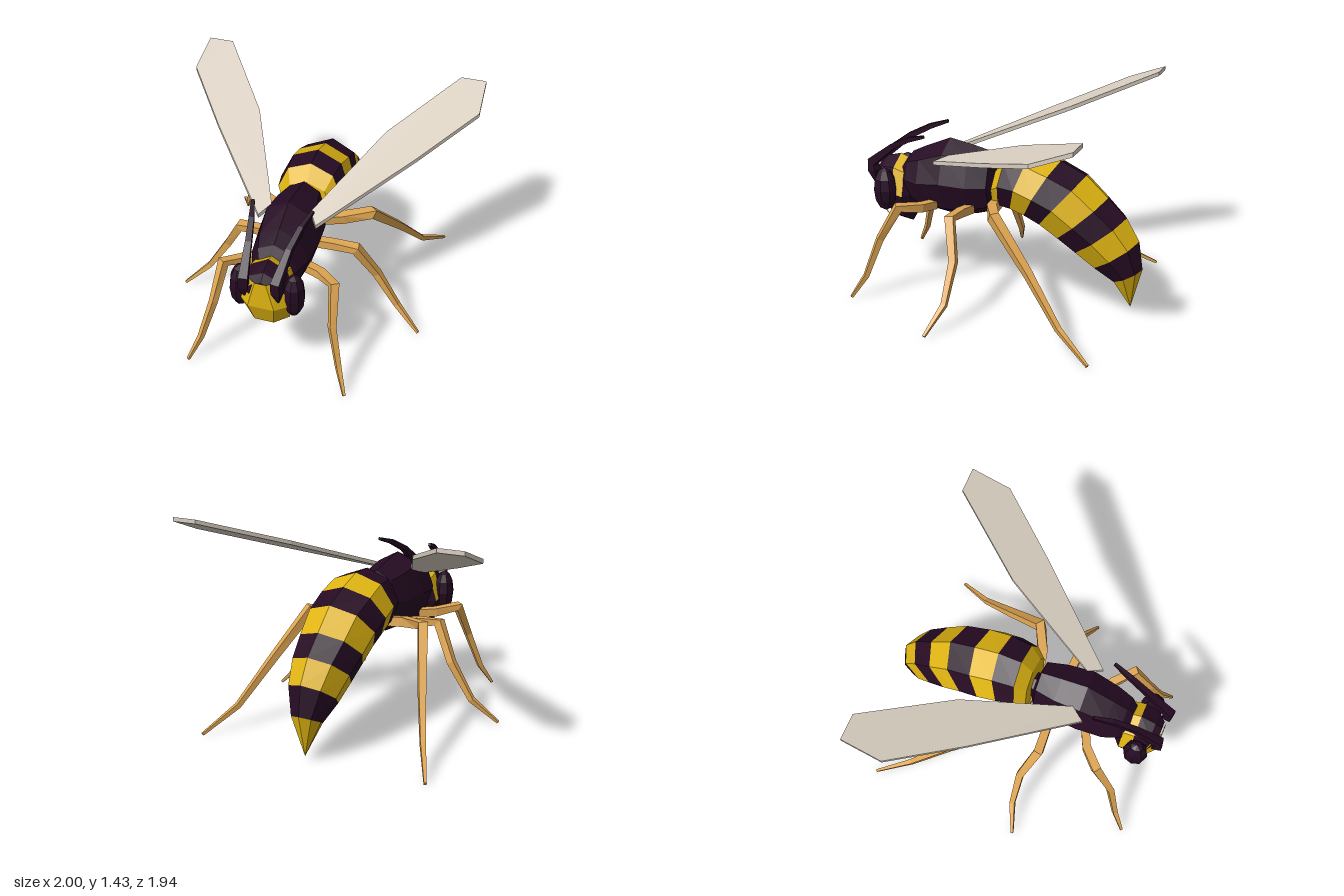
import * as THREE from 'three';

const material = (name, color) => {
  const m = new THREE.MeshStandardMaterial({ color });
  m.name = name;
  return m;
};
const V = (x, y, z) => new THREE.Vector3(x, y, z);

// Flat-faced skin over rows of points; colourAt(i, j) picks the material of each panel.
function skin(name, rows, colourAt, closed = true) {
  const buckets = new Map();
  const tri = (mat, a, b, c) => {
    const area = b.clone().sub(a).cross(c.clone().sub(a)).length();
    if (area < 1e-7) return;
    if (!buckets.has(mat)) buckets.set(mat, []);
    buckets.get(mat).push(a, b, c);
  };
  const n = rows[0].length;
  const last = rows.length - 1;
  for (let i = 0; i < last; i++) {
    for (let j = 0; j < (closed ? n : n - 1); j++) {
      const k = (j + 1) % n;
      const mat = colourAt(i, j);
      tri(mat, rows[i][j], rows[i][k], rows[i + 1][k]);
      tri(mat, rows[i][j], rows[i + 1][k], rows[i + 1][j]);
    }
  }
  if (closed) {
    const centre = r => r.reduce((s, p) => s.add(p), V(0, 0, 0)).divideScalar(n);
    const a = centre(rows[0]), b = centre(rows[last]);
    for (let j = 0; j < n; j++) {
      const k = (j + 1) % n;
      tri(colourAt(0, j), a, rows[0][k], rows[0][j]);
      tri(colourAt(last - 1, j), b, rows[last][j], rows[last][k]);
    }
  }
  const group = new THREE.Group();
  group.name = name;
  for (const [mat, points] of buckets) {
    const g = new THREE.BufferGeometry().setFromPoints(points);
    g.computeVertexNormals();
    const mesh = new THREE.Mesh(g, mat);
    mesh.name = name + 'Panels';
    group.add(mesh);
  }
  return group;
}

// Eight-sided ring spanning a top and a bottom point, with a half width.
function ring([zTop, yTop, zBot, yBot, w]) {
  return Array.from({ length: 8 }, (_, j) => {
    const a = j * Math.PI / 4, t = (1 + Math.cos(a)) / 2;
    return V(w * Math.sin(a), yBot + (yTop - yBot) * t, zBot + (zTop - zBot) * t);
  });
}
const upright = ([z, top, bot, w]) => ring([z, top, z, bot, w]);

// Tapered four-sided limb through [x, y, z, radius] stations.
function limb(name, stations, side, mat) {
  const pts = stations.map(([x, y, z]) => V(x * side, y, z));
  const end = pts[pts.length - 1];
  const ref = end.clone().sub(pts[0]).setY(0).cross(V(0, 1, 0)).normalize();
  const rows = pts.map((p, i) => {
    const t = pts[Math.min(i + 1, pts.length - 1)].clone().sub(pts[Math.max(i - 1, 0)]).normalize();
    const u = ref.clone().addScaledVector(t, -ref.dot(t)).normalize();
    const v = t.clone().cross(u);
    return [0, 1, 2, 3].map(j => {
      const a = (j + 0.5) * Math.PI / 2, r = stations[i][3];
      return p.clone().addScaledVector(u, r * Math.cos(a)).addScaledVector(v, r * Math.sin(a));
    });
  });
  return skin(name, rows, () => mat);
}

export function createModel() {
  const dark = material('darkPlum', 0x260b23);
  const yellow = material('yellow', 0xdfb411);
  const amber = material('amberLegs', 0xdea552);
  const pale = material('paleWing', 0xd9cfc1);
  const model = new THREE.Group();
  model.name = 'wasp';

  // Curved, banded abdomen: top z, top y, bottom z, bottom y, half width
  const abdomen = [
    [0.02, 0.95, 0.05, 0.64, 0.17],
    [-0.06, 1.05, 0, 0.63, 0.22],
    [-0.22, 1.055, -0.08, 0.62, 0.24],
    [-0.39, 1.0, -0.17, 0.595, 0.248],
    [-0.57, 0.925, -0.26, 0.55, 0.238],
    [-0.72, 0.79, -0.38, 0.475, 0.22],
    [-0.85, 0.67, -0.50, 0.39, 0.195],
    [-0.94, 0.52, -0.63, 0.30, 0.16],
    [-0.97, 0.325, -0.77, 0.22, 0.10],
    [-0.90, 0.04, -0.90, 0.04, 0],
  ].map(ring);
  model.add(skin('abdomen', abdomen, i => (i % 2 ? dark : yellow)));

  // Thorax with its narrow waist
  const thorax = [
    [0.74, 0.86, 0.60, 0.11],
    [0.68, 0.93, 0.59, 0.15],
    [0.58, 0.98, 0.54, 0.185],
    [0.40, 1.06, 0.515, 0.205],
    [0.22, 1.03, 0.535, 0.19],
    [0.08, 1.0, 0.58, 0.15],
    [0.05, 0.84, 0.64, 0.09],
    [-0.02, 0.84, 0.68, 0.07],
  ].map(upright);
  model.add(skin('thorax', thorax, () => dark));

  // Head with a yellow collar over its upper rear
  const head = [
    [0.93, 0.83, 0.63, 0.08],
    [0.88, 0.87, 0.53, 0.14],
    [0.78, 0.90, 0.42, 0.17],
    [0.70, 0.87, 0.41, 0.165],
    [0.66, 0.82, 0.48, 0.12],
  ].map(upright);
  model.add(skin('head', head, (i, j) => (i === 2 && (j < 2 || j > 5) ? yellow : dark)));

  // Faceted face shield: y, half width, middle z, edge z
  const face = [
    [0.385, 0.07, 0.75, 0.71],
    [0.49, 0.14, 0.89, 0.81],
    [0.64, 0.19, 0.945, 0.85],
    [0.83, 0.08, 0.94, 0.91],
  ].map(([y, w, zm, ze]) => [-1, -0.45, 0.45, 1].map(f => V(f * w, y, Math.abs(f) === 1 ? ze : zm)));
  model.add(skin('face', face, () => yellow, false));

  // Legs: x, y, z, radius
  const legs = {
    frontLeg: [
      [0.14, 0.62, 0.46, 0.04], [0.25, 0.63, 0.51, 0.04], [0.37, 0.655, 0.62, 0.04],
      [0.40, 0.42, 0.75, 0.03], [0.47, 0.16, 0.83, 0.023], [0.535, 0.012, 0.915, 0.012],
    ],
    middleLeg: [
      [0.12, 0.62, 0.20, 0.04], [0.25, 0.64, 0.215, 0.04], [0.40, 0.65, 0.225, 0.042],
      [0.53, 0.41, 0.145, 0.034], [0.68, 0.17, 0.145, 0.025], [0.85, 0.014, 0.21, 0.012],
    ],
    hindLeg: [
      [0.06, 0.67, 0.03, 0.045], [0.25, 0.70, -0.01, 0.045], [0.42, 0.72, -0.09, 0.045],
      [0.55, 0.43, -0.38, 0.034], [0.675, 0.155, -0.63, 0.024], [0.80, 0.014, -0.865, 0.012],
    ],
  };
  const antenna = [
    [0.11, 0.70, 0.925, 0.006], [0.11, 0.79, 0.935, 0.045], [0.105, 0.85, 0.945, 0.042],
    [0.13, 0.99, 0.77, 0.028], [0.16, 1.065, 0.63, 0.024], [0.195, 1.108, 0.505, 0.014],
  ];

  // Wing outline: x, z
  const outline = [
    [0.19, 0.44], [0.68, -0.14], [1.0, -0.55], [0.99, -0.805],
    [0.82, -0.805], [0.44, -0.30], [0.13, 0.35],
  ];

  for (const side of [1, -1]) {
    const label = side > 0 ? 'left' : 'right';
    for (const [name, stations] of Object.entries(legs)) {
      model.add(limb(`${label} ${name}`, stations, side, amber));
    }
    model.add(limb(`${label} antenna`, antenna, side, dark));

    // Thin wing plate, sheared upward towards the rear
    const shape = new THREE.Shape(outline.map(([x, z]) => new THREE.Vector2(x * side, -z)));
    const plate = new THREE.ExtrudeGeometry(shape, { depth: 0.028, bevelEnabled: false });
    plate.rotateX(-Math.PI / 2);
    const p = plate.attributes.position;
    for (let i = 0; i < p.count; i++) p.setY(i, p.getY(i) + 0.92 + 0.39 * (0.44 - p.getZ(i)));
    plate.computeVertexNormals();
    const wing = new THREE.Mesh(plate, pale);
    wing.name = `${label} wing`;
    model.add(wing);

    // Bulging faceted eye
    const eyeShape = new THREE.SphereGeometry(1, 8, 6).toNonIndexed();
    eyeShape.scale(0.07, 0.155, 0.085);
    eyeShape.computeVertexNormals();
    const eye = new THREE.Mesh(eyeShape, dark);
    eye.name = `${label} eye`;
    eye.position.set(side * 0.175, 0.69, 0.82);
    model.add(eye);
  }
  return model;
}
